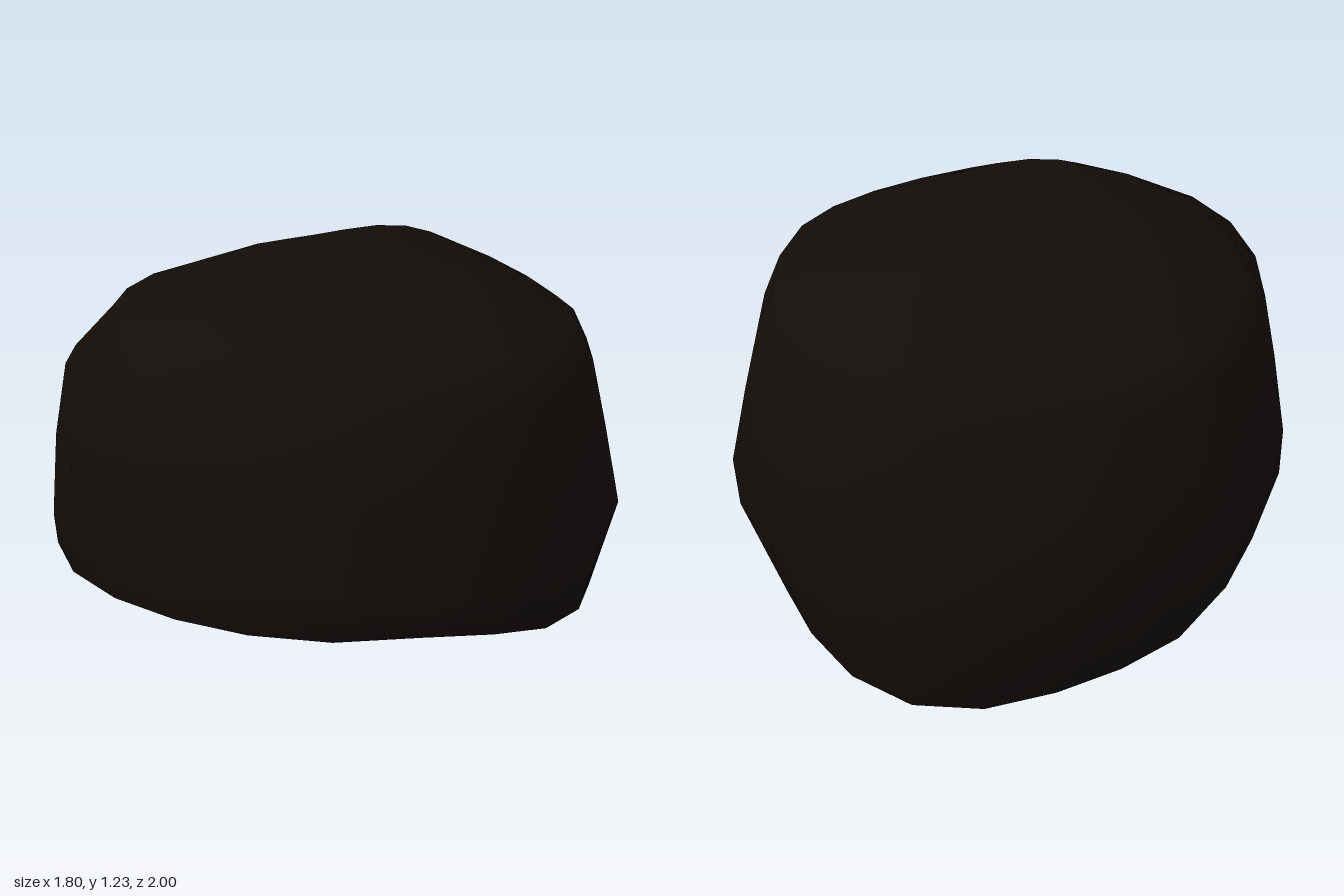
import * as THREE from 'three';
import { mergeVertices } from 'three/addons/utils/BufferGeometryUtils.js';

const SEGMENTS = 24;
const WALL = 0.12;

// Wavy lower edge: [z, y] from back to front
const RIM = [[-0.91, 0], [-0.8, 0.035], [-0.44, 0.07], [-0.3, 0.12], [-0.2, 0.15], [-0.04, 0.165],
  [0.13, 0.21], [0.2, 0.22], [0.4, 0.28], [0.62, 0.38], [0.75, 0.405], [1, 0.43]];

function rimHeight(z) {
  if (z <= RIM[0][0]) return RIM[0][1];
  for (let i = 1; i < RIM.length; i++) {
    const [z0, y0] = RIM[i - 1], [z1, y1] = RIM[i];
    if (z <= z1) return y0 + (y1 - y0) * (z - z0) / (z1 - z0);
  }
  return RIM[RIM.length - 1][1];
}

// Outer cross-sections, bottom to top.
// size: half width, front z, back z; height: front, side, back
// grow / drop: change of radius and height at the [front, back] diagonals
const OUTER = [
  { size: [0.9, 0.99, 1.0], height: [0.6, 0.45, 0.45], grow: [0.015, 0], drop: [0.04, 0] },
  { size: [0.84, 0.975, 0.955], height: [0.8, 0.72, 0.7], grow: [0.027, -0.015], drop: [0, 0] },
  { size: [0.79, 0.96, 0.91], height: [1.0, 0.93, 0.96], grow: [0.015, -0.03], drop: [-0.02, 0.02] },
  { size: [0.73, 0.72, 0.8], height: [1.12, 1.07, 1.08], grow: [0, 0], drop: [0.02, 0.06] },
  { size: [0.4, 0.5, 0.46], height: [1.21, 1.19, 1.22], grow: [0, 0], drop: [0.01, 0.02] },
  { size: [0, 0, 0], height: [1.23, 1.23, 1.23], grow: [0, 0], drop: [0, 0] },
];

// One closed ring; heightAt(z, c, diagonal, end) gives the height of each point
function ring([width, front, back], grow, heightAt) {
  return Array.from({ length: SEGMENTS }, (_, i) => {
    const a = (i / SEGMENTS) * Math.PI * 2;
    const c = Math.cos(a);
    const end = c > 0 ? 0 : 1;
    const diagonal = Math.sin(2 * a) ** 2;
    const scale = 1 + grow[end] * diagonal;
    const z = c * (end ? back : front) * scale;
    return new THREE.Vector3(width * Math.sin(a) * scale, heightAt(z, c, diagonal, end), z);
  });
}

// Ring of the shell, optionally pulled inwards and down for the lining
function shellRing({ size, height, grow, drop }, inset = 0, sink = 0) {
  const [front, side, back] = height;
  return ring(size.map((v) => Math.max(v - inset, 0)), grow, (z, c, diagonal, end) =>
    side + ((end ? back : front) - side) * c * c - drop[end] * diagonal - sink);
}

// Ring that follows the wavy lower edge
function rimRing(size, lift) {
  return ring(size, [0.04, -0.05], (z) => rimHeight(z) + lift);
}

// Skin consecutive rings with smooth faces
function loft(rings) {
  const geometry = new THREE.BufferGeometry().setFromPoints(rings.flat());
  const index = [];
  for (let r = 0; r < rings.length - 1; r++) {
    for (let i = 0; i < SEGMENTS; i++) {
      const j = (i + 1) % SEGMENTS;
      const a = r * SEGMENTS + i, b = r * SEGMENTS + j;
      const c = a + SEGMENTS, d = b + SEGMENTS;
      index.push(a, b, d, a, d, c);
    }
  }
  geometry.setIndex(index);
  const welded = mergeVertices(geometry, 1e-4);
  welded.computeVertexNormals();
  return welded;
}

export function createModel() {
  const group = new THREE.Group();
  group.name = 'cap';

  // Lining from the crown down
  const lining = OUTER.map((section, i) => shellRing(section, WALL, i > 2 ? WALL : WALL / 2)).reverse();

  // Thick rounded edge between lining and outside
  const lip = [
    rimRing([0.68, 0.87, 0.78], 0.06),
    rimRing([0.76, 0.95, 0.85], 0.005),
    rimRing([0.84, 1.0, 0.91], 0),
  ];

  const outside = OUTER.map((section) => shellRing(section));

  const shell = new THREE.Mesh(
    loft([...lining, ...lip, ...outside]),
    new THREE.MeshStandardMaterial({ color: 0x130d09 }),
  );
  shell.name = 'capShell';
  group.add(shell);
  return group;
}
